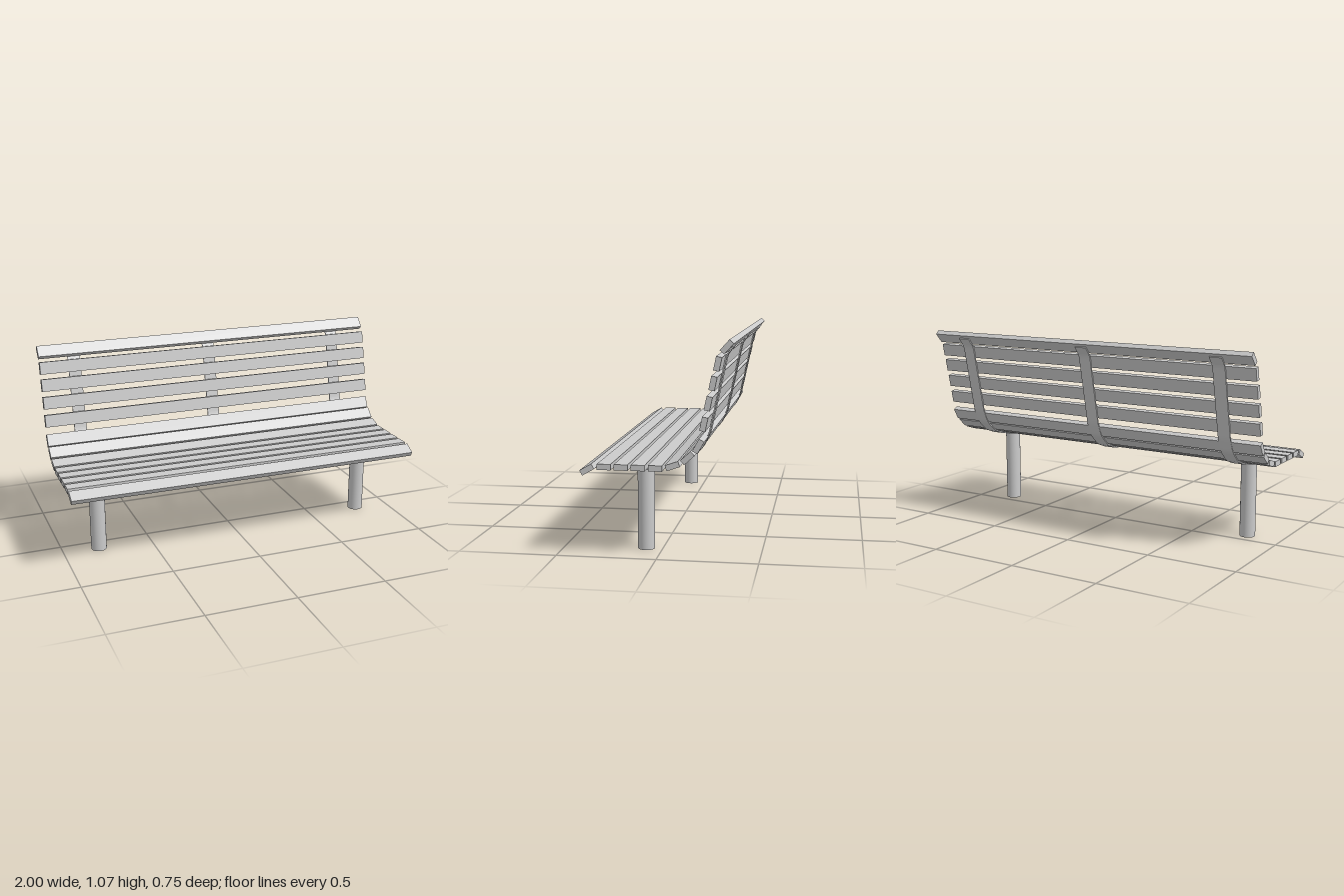
import * as THREE from 'three';

const material = new THREE.MeshStandardMaterial({ color: 0xcccccc });

// Slat centres and tilts: [z, y, degrees]
const SLATS = [
  [0.339, 0.435, 30],
  [0.255, 0.45, 0], [0.171, 0.45, 0], [0.087, 0.45, 0], [0.003, 0.45, 0],
  [-0.081, 0.464, 19], [-0.154, 0.505, 42], [-0.206, 0.563, 61],
  [-0.232, 0.67, 78], [-0.253, 0.769, 78], [-0.275, 0.865, 78], [-0.297, 0.958, 78],
  [-0.34, 1.038, 48],
];

// Bends of the support strap, front edge to top edge: [z, y]
const STRAP = [
  [0.343, 0.412], [0.292, 0.433], [-0.05, 0.433], [-0.135, 0.465],
  [-0.203, 0.526], [-0.238, 0.598], [-0.322, 0.988], [-0.362, 1.037],
];

function addMesh(parent, name, geometry, x, y, z) {
  const mesh = new THREE.Mesh(geometry, material);
  mesh.name = name;
  mesh.position.set(x, y, z);
  parent.add(mesh);
  return mesh;
}

// Flat bar following the bends, with each corner rounded
function strapGeometry(width, thickness, bend) {
  const pts = STRAP.map(([z, y]) => new THREE.Vector2(z, y));
  const path = [pts[0]];
  for (let i = 1; i < pts.length - 1; i++) {
    const toward = (p) => pts[i].clone().add(p.clone().sub(pts[i]).setLength(bend));
    const corner = new THREE.QuadraticBezierCurve(toward(pts[i - 1]), pts[i], toward(pts[i + 1]));
    path.push(...corner.getPoints(4));
  }
  path.push(pts[pts.length - 1]);

  const offset = (side) => path.map((p, i) => {
    const a = path[Math.max(i - 1, 0)];
    const b = path[Math.min(i + 1, path.length - 1)];
    const d = b.clone().sub(a).normalize();
    return new THREE.Vector2(p.x - d.y * side, p.y + d.x * side);
  });
  const outline = [...offset(thickness / 2), ...offset(-thickness / 2).reverse()];
  const geometry = new THREE.ExtrudeGeometry(new THREE.Shape(outline), { depth: width, bevelEnabled: false });
  return geometry.translate(0, 0, -width / 2).rotateY(-Math.PI / 2);
}

export function createModel() {
  const bench = new THREE.Group();
  bench.name = 'bench';

  // Seat and backrest slats
  const slatGeometry = new THREE.BoxGeometry(2, 0.029, 0.068);
  SLATS.forEach(([z, y, tilt], i) => {
    const name = i < 6 ? 'seatSlat' : 'backSlat';
    addMesh(bench, name, slatGeometry, 0, y, z).rotation.x = THREE.MathUtils.degToRad(tilt);
  });

  // Bent support straps behind the slats
  const strap = strapGeometry(0.07, 0.007, 0.02);
  for (const x of [-0.8, 0, 0.8]) addMesh(bench, 'supportStrap', strap, x, 0, 0);

  // Round legs with a narrower neck under the strap
  const legGeometry = new THREE.CylinderGeometry(0.043, 0.043, 0.412, 32);
  const neckGeometry = new THREE.CylinderGeometry(0.031, 0.031, 0.03, 32);
  for (const x of [-0.8, 0.8]) {
    addMesh(bench, 'leg', legGeometry, x, 0.206, 0.083);
    addMesh(bench, 'legNeck', neckGeometry, x, 0.417, 0.083);
  }

  return bench;
}
